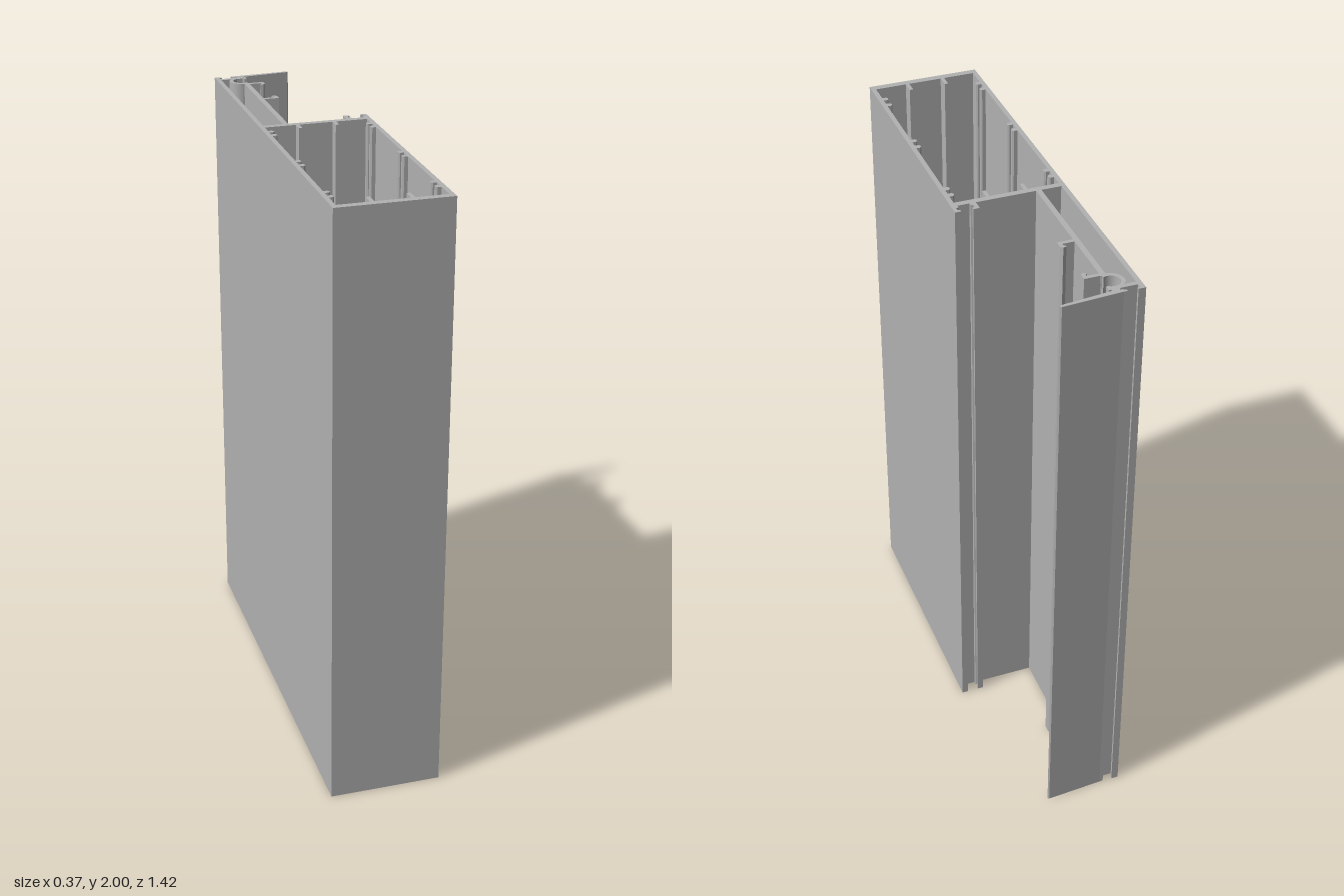
import * as THREE from 'three';

const HEIGHT = 2;

export function createModel() {
  const group = new THREE.Group();
  const aluminium = new THREE.MeshStandardMaterial({ color: 0xb2b2b2 });
  aluminium.name = 'aluminium grey';

  // Plan points are [x, z]; the profile is extruded upwards along y.
  const toV = (pts) => pts.map(([x, z]) => new THREE.Vector2(x, -z));
  const rect = (x0, x1, z0, z1) => [[x0, z0], [x1, z0], [x1, z1], [x0, z1]];
  function add(name, outline, hole) {
    const shape = new THREE.Shape(toV(outline));
    if (hole) shape.holes.push(new THREE.Path(toV(hole)));
    const geo = new THREE.ExtrudeGeometry(shape, { depth: HEIGHT, bevelEnabled: false });
    geo.rotateX(-Math.PI / 2);
    const mesh = new THREE.Mesh(geo, aluminium);
    mesh.name = name;
    group.add(mesh);
  }

  // Hollow box chamber and the long side wall running on behind it
  add('boxChamber',
    [[-0.183, 0.71], [0.183, 0.71], [0.183, -0.104], [-0.168, -0.104],
      [-0.168, -0.692], [-0.16, -0.692], [-0.16, -0.7], [-0.183, -0.7]],
    rect(-0.168, 0.168, -0.084, 0.687));

  // Rounded screw guides in pairs on both inner side walls
  for (const z of [-0.037, 0.001, 0.276, 0.316, 0.571, 0.612]) {
    for (const s of [-1, 1]) {
      add('screwGuide', [[0.168, z - 0.009], [0.156, z - 0.009], [0.151, z - 0.005],
        [0.151, z + 0.005], [0.156, z + 0.009], [0.168, z + 0.009]].map(([x, v]) => [s * x, v]));
    }
  }

  // Short ribs on the inner end walls
  for (const x of [-0.061, 0.06]) {
    add('dividerRib', rect(x - 0.006, x + 0.006, -0.084, -0.049));
    add('frontRib', rect(x - 0.006, x + 0.006, 0.645, 0.687));
  }

  // Facing pair of clips on the divider's outer corner
  for (const s of [-1, 1]) {
    add('cornerClip', [[0.039, -0.104], [0.039, -0.139], [0.019, -0.139], [0.019, -0.131],
      [0.027, -0.127], [0.027, -0.117], [0.019, -0.114], [0.019, -0.104]]
      .map(([x, z]) => [0.144 + s * x, z]));
  }

  // Inner web and its gasket hooks
  add('innerWeb', rect(-0.104, -0.087, -0.605, -0.104));
  add('rearHook', [[-0.087, -0.602], [-0.037, -0.602], [-0.037, -0.578], [-0.044, -0.572],
    [-0.055, -0.574], [-0.055, -0.578], [-0.049, -0.583], [-0.049, -0.589], [-0.087, -0.589]]);
  add('frontHook', [[-0.087, -0.396], [-0.037, -0.396], [-0.037, -0.421], [-0.044, -0.43],
    [-0.055, -0.426], [-0.055, -0.421], [-0.049, -0.416], [-0.049, -0.409], [-0.087, -0.409]]);

  // Open round screw port
  const port = [];
  const N = 20;
  for (let i = 0; i <= 2 * N + 1; i++) {
    const outer = i <= N;
    const t = (outer ? i : 2 * N + 1 - i) / N;
    const a = THREE.MathUtils.degToRad(65 + 225 * t);
    const r = outer ? 0.041 : 0.028;
    port.push([-0.104 + r * Math.cos(a), -0.637 + r * Math.sin(a)]);
  }
  add('screwPort', port);

  // Bridge from the side wall, stem, and the slanted cover flap
  add('bridge', [[-0.168, -0.678], [-0.08, -0.678], [-0.08, -0.658], [-0.088, -0.658],
    [-0.094, -0.663], [-0.168, -0.663]]);
  add('flapStem', [[-0.116, -0.678], [-0.105, -0.69], [-0.09, -0.69], [-0.088, -0.678]]);
  add('coverFlap', [[-0.128, -0.699], [-0.116, -0.699], [0.073, -0.711], [0.078, -0.707],
    [0.073, -0.701], [-0.088, -0.684], [-0.116, -0.686], [-0.128, -0.691]]);

  return group;
}
